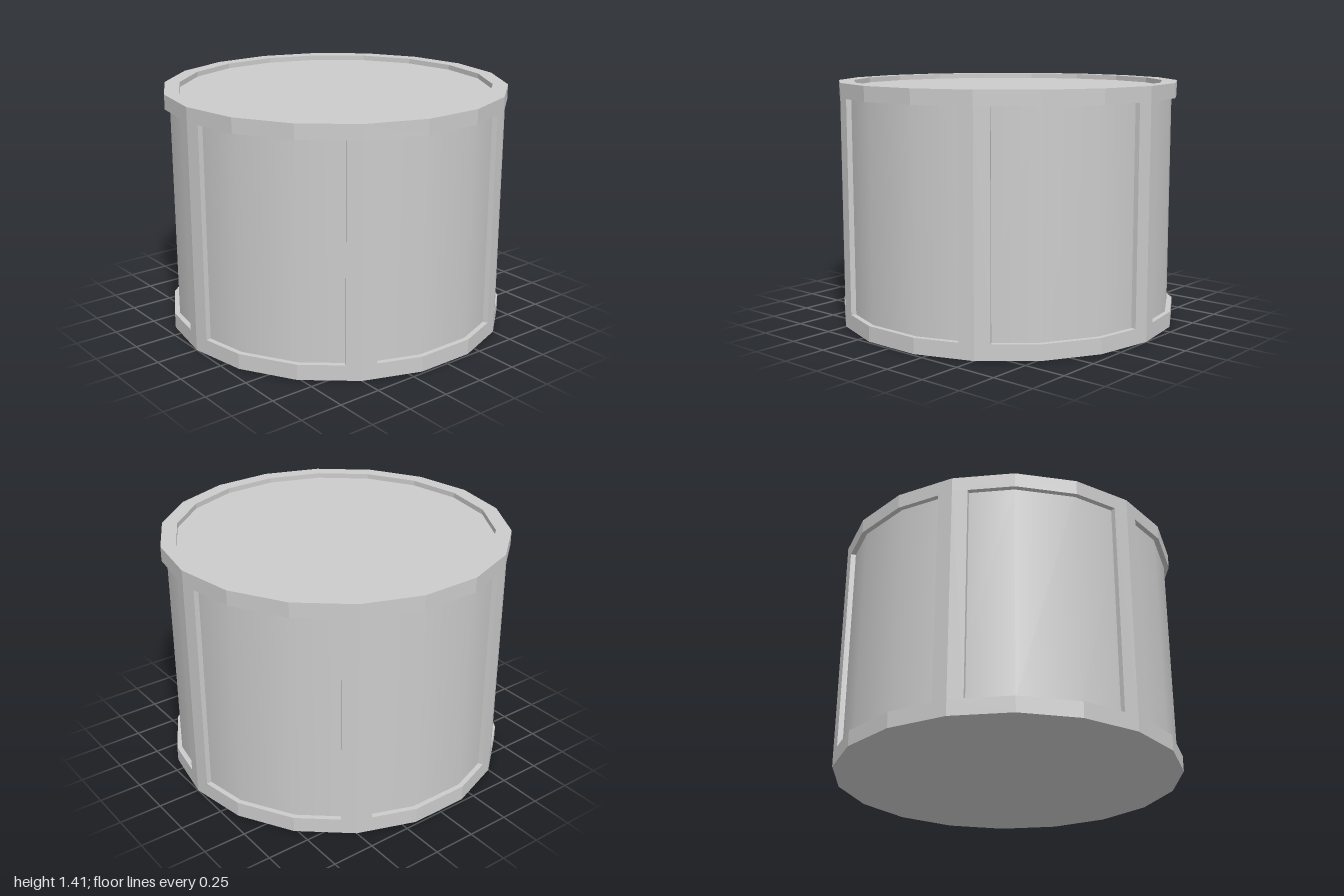
import * as THREE from 'three';

const SIDES = 18;
const HEIGHT = 1.41;
const WINDOW_BOTTOM = 0.09;
const WINDOW_TOP = 1.325;
const PANEL_RADIUS = 0.97;

export function createModel() {
  const group = new THREE.Group();
  const flat = new THREE.MeshStandardMaterial({ color: 0xcccccc, flatShading: true });
  const smooth = new THREE.MeshStandardMaterial({ color: 0xcccccc });

  const add = (name, geometry, material) => {
    const mesh = new THREE.Mesh(geometry, material);
    mesh.name = name;
    group.add(mesh);
    return mesh;
  };

  // Faceted rings with a corner on the x axis
  const ring = (profile) => new THREE.LatheGeometry(
    profile.map(([r, y]) => new THREE.Vector2(r, y)), SIDES, Math.PI / 2);

  // Bottom ring, closed underneath
  add('bottomRing', ring([
    [0, 0], [1, 0], [1, WINDOW_BOTTOM], [PANEL_RADIUS, WINDOW_BOTTOM],
  ]), flat);

  // Top ring with a shallow sunken lid
  add('topRing', ring([
    [PANEL_RADIUS, WINDOW_TOP], [1, WINDOW_TOP], [1, HEIGHT],
    [0.912, HEIGHT], [0.912, HEIGHT - 0.03], [0, HEIGHT - 0.03],
  ]), flat);

  // Smooth recessed wall behind the pillars
  const wallHeight = WINDOW_TOP - WINDOW_BOTTOM;
  const wall = add('recessedWall', new THREE.CylinderGeometry(
    PANEL_RADIUS, PANEL_RADIUS, wallHeight, SIDES, 1, true, Math.PI / 2), smooth);
  wall.position.y = (WINDOW_BOTTOM + WINDOW_TOP) / 2;

  // Pillars wrap every third corner, a quarter of the way along each side
  const step = (2 * Math.PI) / SIDES;
  const corner = new THREE.Vector2(1, 0);
  const left = corner.clone().lerp(new THREE.Vector2(Math.cos(step), Math.sin(step)), 0.25);
  const right = new THREE.Vector2(left.x, -left.y);
  const outer = [right, corner, left];
  const inner = outer.map((p) => p.clone().multiplyScalar(PANEL_RADIUS)).reverse();
  const pillarGeometry = new THREE.ExtrudeGeometry(
    new THREE.Shape([...outer, ...inner]), { depth: wallHeight, bevelEnabled: false });
  pillarGeometry.rotateX(-Math.PI / 2);
  for (let i = 0; i < 6; i++) {
    const pillar = add('pillar', pillarGeometry, flat);
    pillar.position.y = WINDOW_BOTTOM;
    pillar.rotation.y = (i * Math.PI) / 3;
  }

  return group;
}
